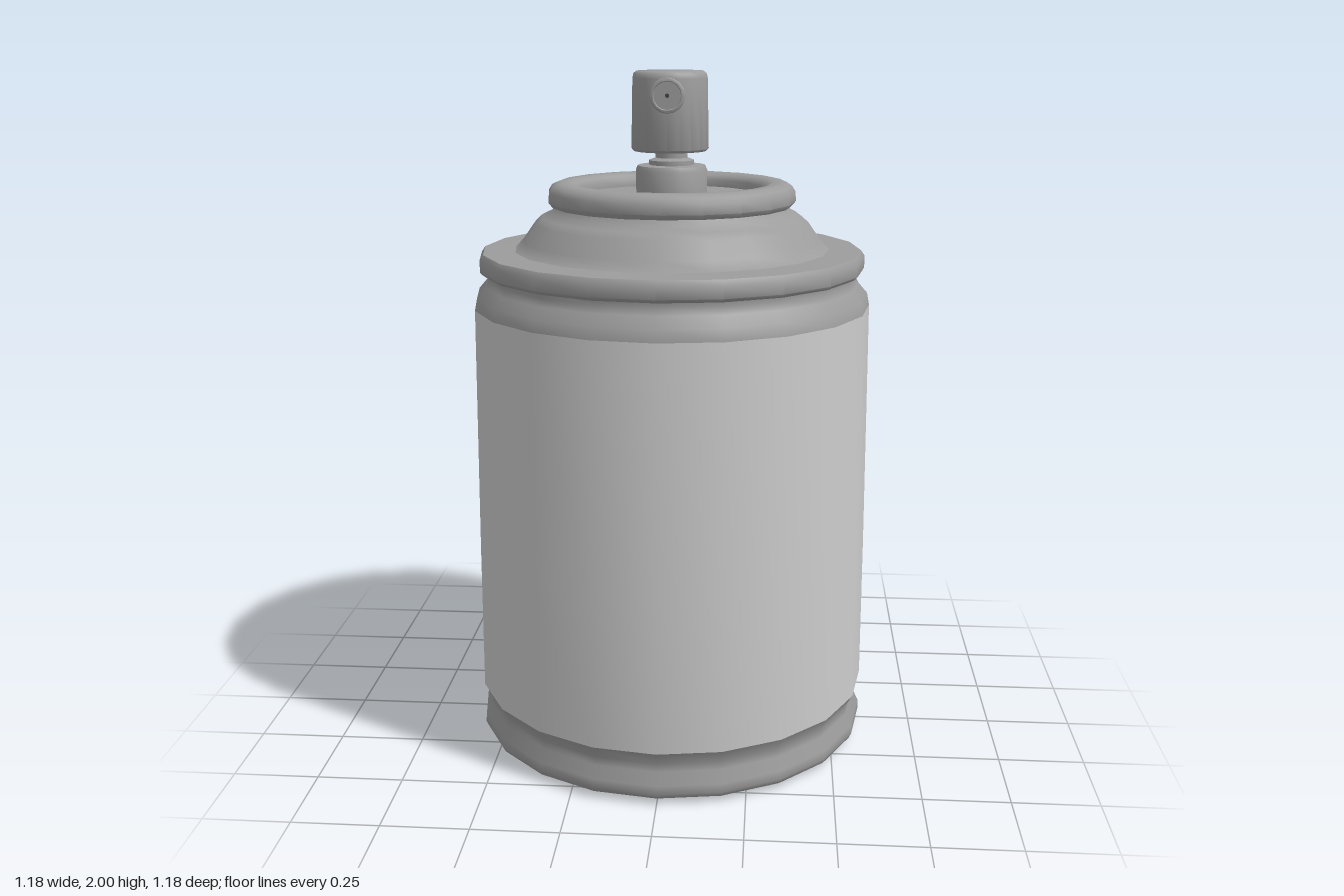
import * as THREE from 'three';
import { toCreasedNormals } from 'three/addons/utils/BufferGeometryUtils.js';

const mat = (name, color) => {
  const m = new THREE.MeshStandardMaterial({ color });
  m.name = name;
  return m;
};

export function createModel() {
  const metal = mat('grey metal', 0x9c9c9c);
  const paint = mat('light grey paint', 0xcccccc);
  const dark = mat('dark grey', 0x444444);
  const can = new THREE.Group();
  can.name = 'sprayCan';

  // Revolves [radius, height] points, listed from the bottom up
  function turned(name, points, material, parent = can, sides = 20, crease = 0.8) {
    const lathe = new THREE.LatheGeometry(points.map(([r, y]) => new THREE.Vector2(r, y)), sides);
    const mesh = new THREE.Mesh(toCreasedNormals(lathe, crease), material);
    mesh.name = name;
    parent.add(mesh);
    return mesh;
  }

  // Rolled foot and flat underside
  turned('base', [
    [0, 0.005], [0.5, 0.005], [0.53, 0], [0.585, 0.02], [0.592, 0.035], [0.59, 0.06],
    [0.572, 0.095], [0.57, 0.12], [0.592, 0.16],
  ], metal);

  // Painted wall, tapering slightly upwards
  turned('body', [[0.592, 0.16], [0.59, 0.6], [0.583, 1.33]], paint);

  // Necked-in band under the top seam
  turned('neckBand', [[0.583, 1.33], [0.576, 1.365], [0.55, 1.395], [0.54, 1.415], [0.545, 1.435]], metal);

  // Top seam and domed shoulder
  turned('seam', [
    [0.53, 1.43], [0.555, 1.43], [0.565, 1.44], [0.565, 1.475], [0.555, 1.49], [0.53, 1.491], [0.45, 1.493],
  ], metal);
  turned('shoulder', [
    [0.5, 1.485], [0.46, 1.493], [0.435, 1.52], [0.4, 1.57], [0.38, 1.588], [0.35, 1.602], [0.338, 1.625],
  ], metal);

  // Rounded valve ring with a recessed floor
  turned('valveRing', [
    [0.32, 1.618], [0.35, 1.618], [0.362, 1.632], [0.36, 1.66], [0.35, 1.676], [0.33, 1.685],
    [0.295, 1.685], [0.278, 1.677], [0.27, 1.665], [0.27, 1.645], [0, 1.645],
  ], metal);

  // Valve collar and stem
  turned('collar', [
    [0.103, 1.64], [0.104, 1.72], [0.098, 1.733], [0.065, 1.735], [0.065, 1.748], [0.046, 1.755], [0.046, 1.8],
  ], metal);

  // Push-down nozzle
  const nozzle = new THREE.Group();
  nozzle.name = 'nozzle';
  nozzle.position.set(-0.004, 0, 0.005);
  can.add(nozzle);
  turned('nozzleCap', [
    [0, 1.778], [0.105, 1.775], [0.112, 1.782], [0.108, 1.98], [0.105, 1.993], [0.096, 2], [0, 2],
  ], metal, nozzle);

  // Spray outlet facing forward
  const outlet = turned('outlet', [
    [0.05, 0.085], [0.05, 0.11], [0.047, 0.113], [0.041, 0.113], [0.039, 0.11], [0, 0.11],
  ], metal, nozzle, 16);
  outlet.rotation.x = Math.PI / 2;
  outlet.position.y = 1.935;
  const hole = new THREE.Mesh(new THREE.CircleGeometry(0.006, 10), dark);
  hole.name = 'sprayHole';
  hole.position.set(0, 1.935, 0.1115);
  nozzle.add(hole);

  return can;
}
